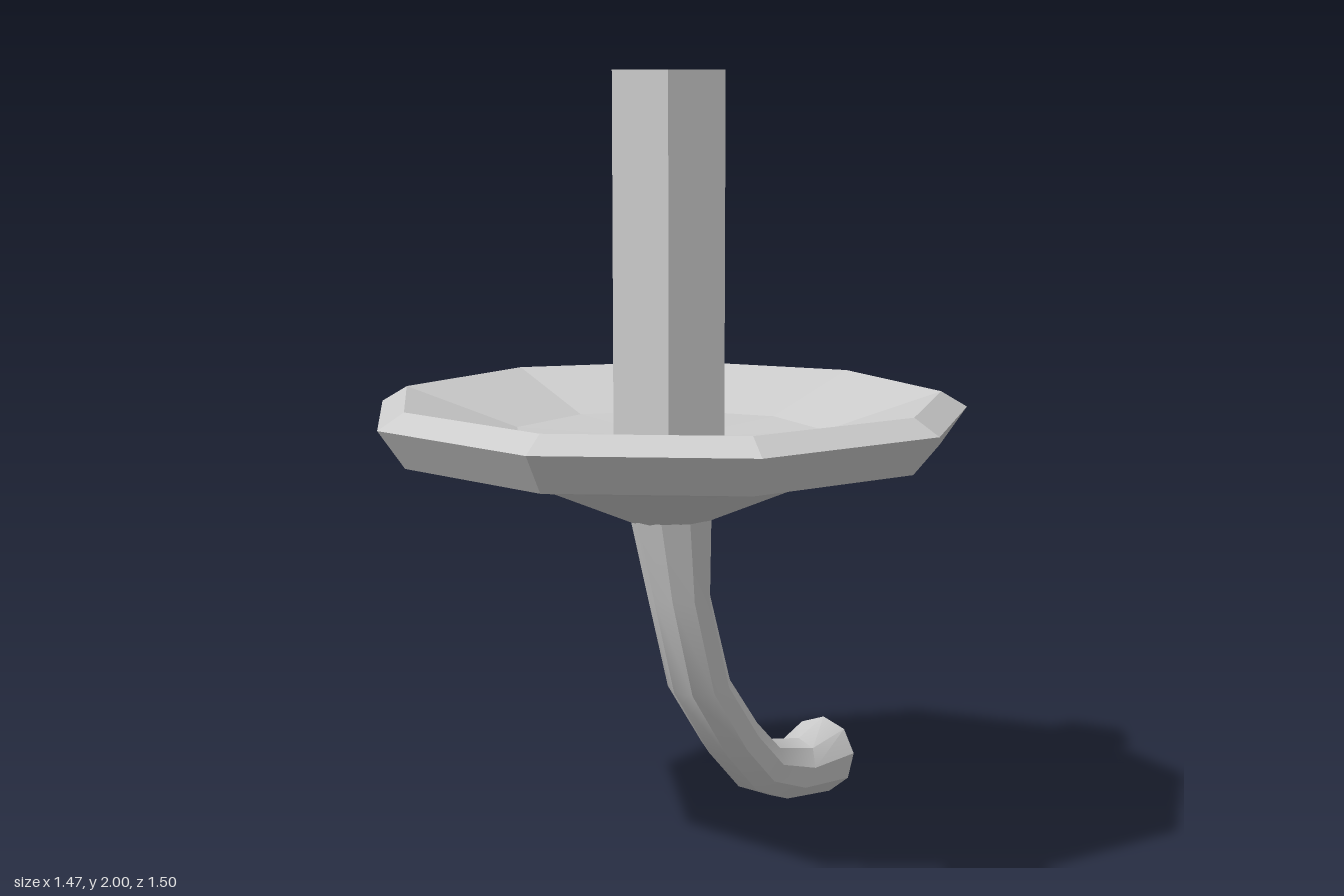
import * as THREE from 'three';
import { toCreasedNormals } from 'three/addons/utils/BufferGeometryUtils.js';

const SIDES = 9;

// Curved grip: each section is [outer z, outer y, inner z, inner y, half width]
function handleGeometry() {
  const sections = [
    [0.11, 0.90, -0.09, 0.90, 0.105],
    [0.05, 0.69, -0.10, 0.69, 0.083],
    [-0.04, 0.43, -0.195, 0.45, 0.083],
    [-0.205, 0.23, -0.325, 0.31, 0.083],
    [-0.35, 0.10, -0.44, 0.215, 0.083],
    [-0.51, 0.033, -0.615, 0.175, 0.083],
    [-0.725, 0.0, -0.75, 0.205, 0.107],
  ];
  const low = Math.cos(Math.PI / SIDES); // flat side lies on the outer line
  const positions = [];
  const index = [];
  const centre = ([oz, oy, iz, iy]) => [(oz + iz * low) / (1 + low), (oy + iy * low) / (1 + low)];
  for (const s of sections) {
    const [cz, cy] = centre(s);
    for (let j = 0; j < SIDES; j++) {
      const a = (j / SIDES) * Math.PI * 2;
      positions.push(
        -0.006 + s[4] * Math.sin(a),
        cy + (s[3] - cy) * Math.cos(a),
        cz + (s[2] - cz) * Math.cos(a)
      );
    }
  }
  const last = (sections.length - 1) * SIDES;
  const [endZ, endY] = centre(sections[sections.length - 1]);
  positions.push(-0.006, endY, endZ);
  for (let j = 0; j < SIDES; j++) {
    const k = (j + 1) % SIDES;
    for (let r = 0; r < last; r += SIDES) {
      index.push(r + j, r + k, r + SIDES + j, r + k, r + SIDES + k, r + SIDES + j);
    }
    index.push(last + SIDES, last + j, last + k);
  }
  const geometry = new THREE.BufferGeometry();
  geometry.setAttribute('position', new THREE.Float32BufferAttribute(positions, 3));
  geometry.setIndex(index);
  return toCreasedNormals(geometry, 0.6);
}

export function createModel() {
  const group = new THREE.Group();
  const flat = new THREE.MeshStandardMaterial({ color: 0xcccccc, flatShading: true });
  const creased = new THREE.MeshStandardMaterial({ color: 0xcccccc });

  const add = (name, geometry, material, x = 0, y = 0, z = 0) => {
    const mesh = new THREE.Mesh(geometry, material);
    mesh.name = name;
    mesh.position.set(x, y, z);
    group.add(mesh);
  };

  // Nine-sided dish: underside, bevelled rim, then shallow hollow
  const profile = [
    [0, 0.89], [0.1, 0.89], [0.395, 1.015], [0.69, 1.07], [0.757, 1.165],
    [0.69, 1.205], [0.395, 1.11], [0, 1.095],
  ].map(([r, y]) => new THREE.Vector2(r, y));
  add('dish', new THREE.LatheGeometry(profile, SIDES, Math.PI / 2), flat, -0.025, 0, 0);

  // Six-sided candle standing in the dish
  const turn = Math.PI / 2 + 0.06;
  const candle = new THREE.CylinderGeometry(0.157, 0.157, 0.95, 6, 1, false, turn);
  add('candle', candle, flat, -0.018, 1.525, 0.005);

  // Grip curving down and back from the dish
  add('handle', handleGeometry(), creased);
  return group;
}
